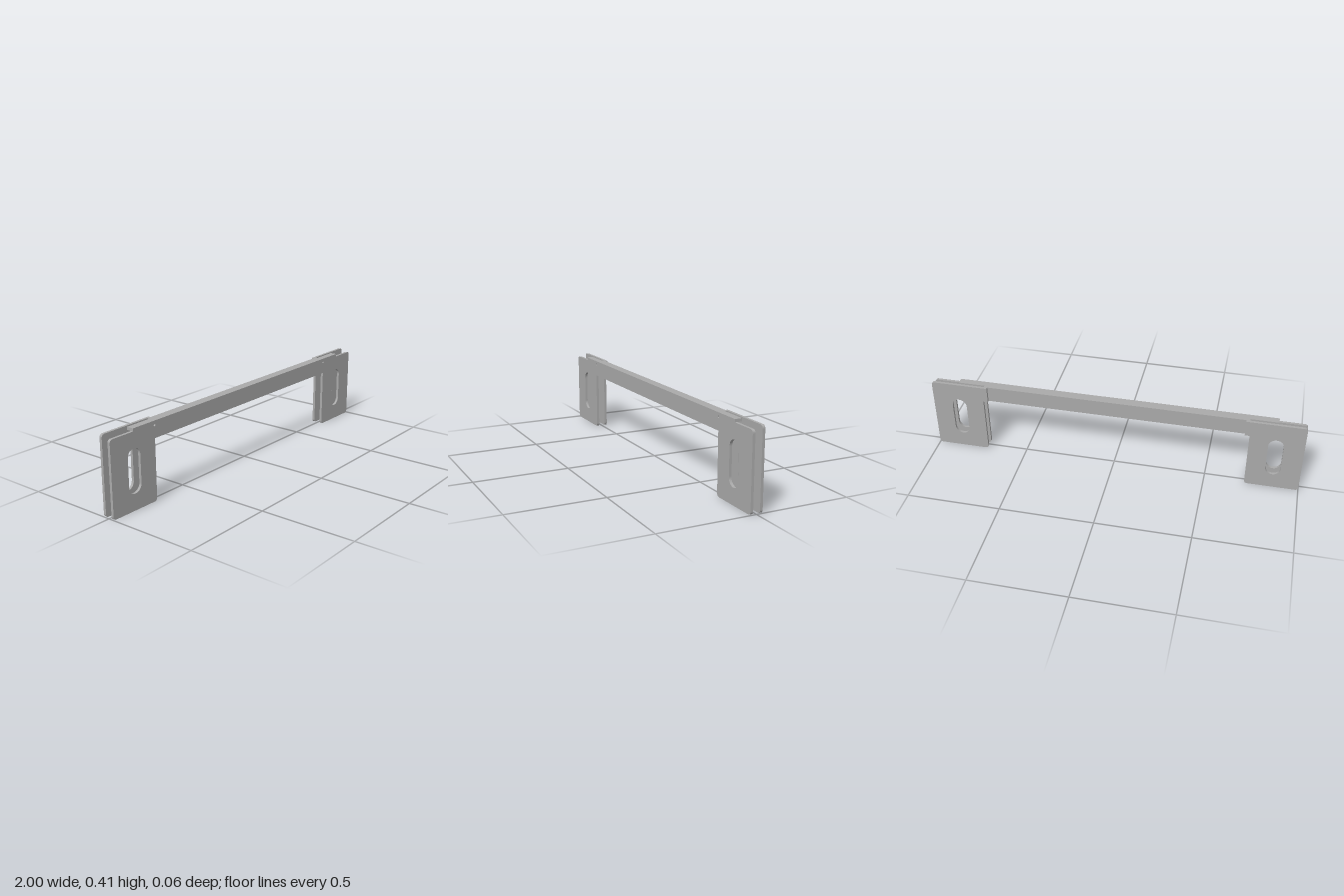
import * as THREE from 'three';

const metal = new THREE.MeshStandardMaterial({ color: 0xaaaaaa });
metal.name = 'grey metal';

// Closed outline from [x, y, cornerRadius] points
function roundedOutline(points) {
  const shape = new THREE.Shape();
  const n = points.length;
  points.forEach(([x, y, r = 0], i) => {
    const p = new THREE.Vector2(x, y);
    const toward = (q) => new THREE.Vector2(q[0], q[1]).sub(p).setLength(r).add(p);
    const a = r ? toward(points[(i + n - 1) % n]) : p;
    if (i === 0) shape.moveTo(a.x, a.y);
    else shape.lineTo(a.x, a.y);
    if (r) {
      const b = toward(points[(i + 1) % n]);
      shape.quadraticCurveTo(p.x, p.y, b.x, b.y);
    }
  });
  shape.closePath();
  return shape;
}

// Upright mounting slot with round ends
function slotHole(side) {
  const hole = new THREE.Path();
  const x = side * 0.855, r = 0.04;
  hole.absarc(x, 0.27, r, 0, Math.PI, false);
  hole.absarc(x, 0.125, r, Math.PI, Math.PI * 2, false);
  hole.closePath();
  return hole;
}

function plate(name, shape, z0, z1) {
  const geometry = new THREE.ExtrudeGeometry(shape, { depth: z1 - z0, bevelEnabled: false, curveSegments: 12 });
  geometry.translate(0, 0, z0);
  const mesh = new THREE.Mesh(geometry, metal);
  mesh.name = name;
  return mesh;
}

function block(name, halfX, y0, y1, z0, z1) {
  const mesh = new THREE.Mesh(new THREE.BoxGeometry(halfX * 2, y1 - y0, z1 - z0), metal);
  mesh.position.set(0, (y0 + y1) / 2, (z0 + z1) / 2);
  mesh.name = name;
  return mesh;
}

export function createModel() {
  const group = new THREE.Group();
  group.name = 'mounting bracket';

  // Front plate: long bar with a slotted leg at each end
  const half = [
    [0.715, 0.318], [0.715, 0, 0.018], [1, 0, 0.018],
    [1, 0.39, 0.018], [0.855, 0.39], [0.855, 0.405],
  ];
  const mirrored = half.map(([x, y, r]) => [-x, y, r]).reverse();
  const front = roundedOutline([...half, ...mirrored]);
  for (const side of [-1, 1]) {
    front.holes.push(slotHole(side));
    const relief = new THREE.Path();
    relief.absarc(side * 0.715, 0.383, 0.006, 0, Math.PI * 2, false);
    front.holes.push(relief);
  }
  group.add(plate('frontPlate', front, 0.018, 0.032));

  // Folded top and rear flange of the channel
  group.add(block('topWeb', 0.855, 0.39, 0.405, -0.005, 0.018));
  group.add(block('rearFlange', 0.71, 0.318, 0.405, -0.018, -0.005));

  // Rear slotted legs, stepped back from the flange
  for (const side of [-1, 1]) {
    const outline = roundedOutline([
      [0.69, 0.318], [0.715, 0.318], [0.715, 0, 0.018],
      [1, 0, 0.018], [1, 0.405, 0.018], [0.69, 0.405],
    ].map(([x, y, r]) => [side * x, y, r]));
    outline.holes.push(slotHole(side));
    group.add(plate(side > 0 ? 'leftRearLeg' : 'rightRearLeg', outline, -0.032, -0.018));
  }
  return group;
}
